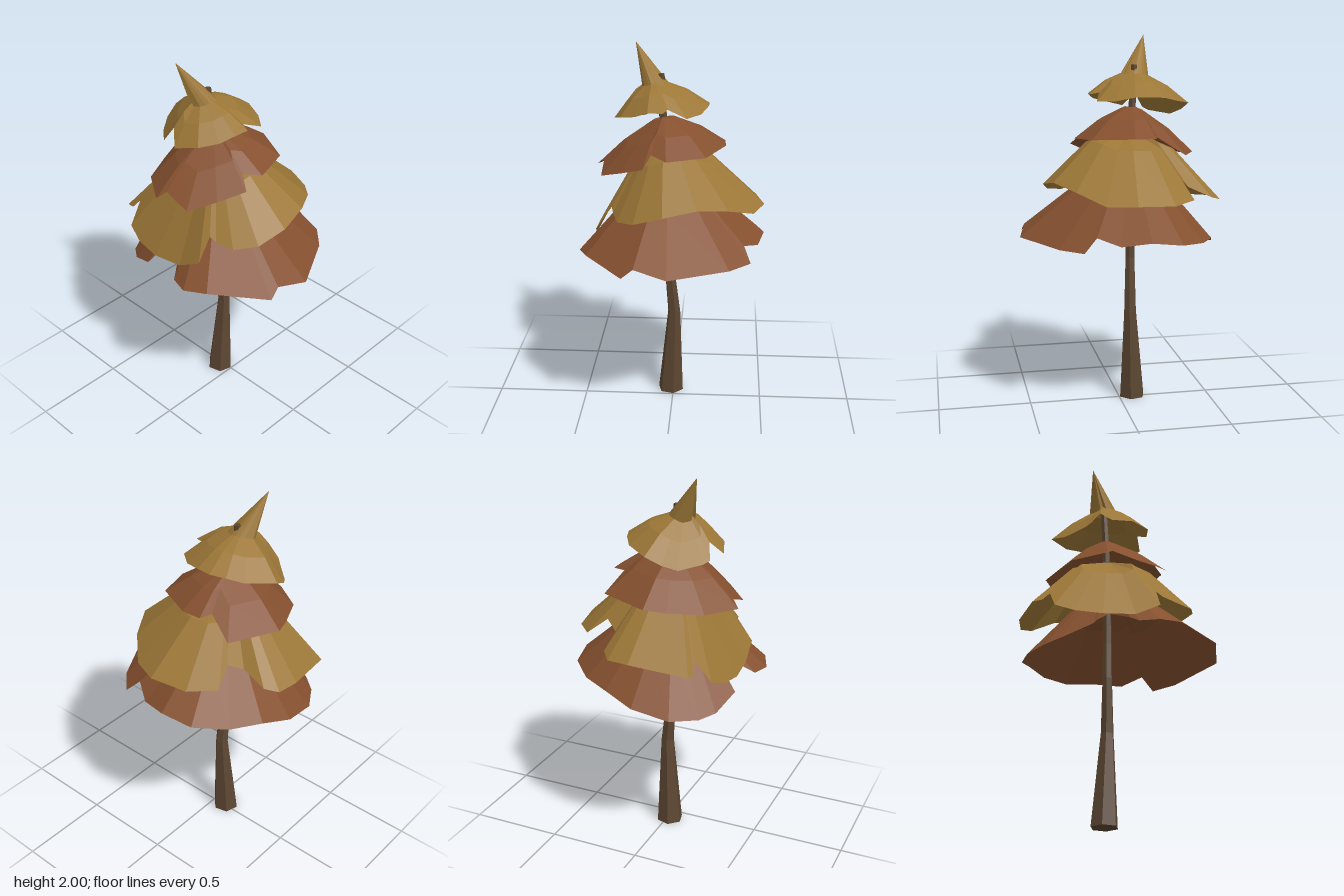
import * as THREE from 'three';

const flat = (name, color) => {
  const m = new THREE.MeshStandardMaterial({ color, side: THREE.DoubleSide });
  m.name = name;
  return m;
};

// Joins rings of points (top to bottom or bottom to top) into flat facets
function skin(rings, flip = false) {
  const pos = [];
  const tri = (a, b, c) => {
    for (const p of flip ? [a, c, b] : [a, b, c]) pos.push(p.x, p.y, p.z);
  };
  for (let r = 0; r < rings.length - 1; r++) {
    const up = rings[r], low = rings[r + 1];
    const n = Math.max(up.length, low.length);
    for (let i = 0; i < n; i++) {
      const j = (i + 1) % n;
      if (up.length === 1) tri(up[0], low[i], low[j]);
      else if (low.length === 1) tri(up[i], low[0], up[j]);
      else {
        tri(up[i], low[i], low[j]);
        tri(up[i], low[j], up[j]);
      }
    }
  }
  const g = new THREE.BufferGeometry();
  g.setAttribute('position', new THREE.Float32BufferAttribute(pos, 3));
  g.computeVertexNormals();
  return g;
}

// Foliage shell: ragged rim pulled in towards a centre; steps are [fraction, lift]
function tier(name, material, centre, tip, steps, rim) {
  const c = new THREE.Vector3(...centre);
  const edge = rim.map(p => new THREE.Vector3(...p));
  const rings = steps.map(([f, lift]) => edge.map(p => {
    const q = c.clone().lerp(p, f);
    q.y += lift;
    return q;
  }));
  const mesh = new THREE.Mesh(skin([[new THREE.Vector3(...tip)], ...rings, edge]), material);
  mesh.name = name;
  return mesh;
}

export function createModel() {
  const group = new THREE.Group();
  group.name = 'tree';
  const bark = flat('bark', 0x5c4632);
  const russet = flat('russet leaves', 0x85502f);
  const gold = flat('gold leaves', 0x9c7737);

  // Bent, tapering six-sided trunk: x, y, z, radius
  const trunkRings = [
    [-0.095, 1.845, 0.065, 0.018], [-0.08, 1.6, 0.055, 0.022], [-0.065, 1.0, 0.022, 0.026],
    [-0.065, 0.8, 0.025, 0.027], [-0.06, 0.5, -0.005, 0.036], [-0.075, 0, 0.015, 0.073],
  ].map(([x, y, z, r]) => Array.from({ length: 6 }, (_, i) => {
    const a = (i / 6) * Math.PI * 2 + 0.25;
    return new THREE.Vector3(x + r * Math.cos(a), y, z - r * Math.sin(a));
  }));
  const trunk = new THREE.Mesh(skin([
    [new THREE.Vector3(-0.095, 1.845, 0.065)], ...trunkRings, [new THREE.Vector3(-0.075, 0, 0.015)],
  ]), bark);
  trunk.name = 'trunk';
  group.add(trunk);

  // Rims run left, front, right, back
  group.add(tier('bottomFoliage', russet, [-0.06, 1.33, 0.03], [-0.06, 1.33, 0.03], [[0.5, 0.05]], [
    [-0.47, 0.93, -0.17], [-0.52, 0.88, 0], [-0.5, 0.84, 0.2], [-0.42, 0.84, 0.33],
    [-0.34, 0.855, 0.39], [-0.19, 0.92, 0.435], [-0.16, 0.98, 0.36], [-0.08, 1.1, 0.2],
    [0, 0.985, 0.4], [0.04, 0.94, 0.46], [0.14, 0.94, 0.49], [0.26, 0.955, 0.44],
    [0.51, 0.935, 0.23], [0.5, 0.98, 0.17], [0.54, 0.94, 0.0], [0.37, 0.93, -0.31],
    [0.26, 0.93, -0.42], [0.19, 1.0, -0.385], [0.08, 0.965, -0.46], [-0.07, 0.985, -0.495],
    [-0.24, 0.96, -0.46], [-0.38, 0.94, -0.33],
  ]));

  group.add(tier('lowerMiddleFoliage', gold, [-0.06, 1.5, 0.05], [-0.06, 1.5, 0.05], [[0.5, 0.08]], [
    [-0.34, 1.21, -0.17], [-0.47, 1.15, -0.17], [-0.53, 1.13, -0.12], [-0.545, 1.13, 0],
    [-0.49, 1.09, 0.3], [-0.44, 1.1, 0.31], [-0.4, 1.15, 0.29], [-0.38, 1.04, 0.38],
    [-0.28, 1.0, 0.41], [-0.14, 0.985, 0.425], [0.03, 1.0, 0.41], [0.16, 1.07, 0.395],
    [0.155, 1.19, 0.31], [0.19, 1.17, 0.3], [0.28, 1.15, 0.27], [0.37, 1.17, 0.18],
    [0.41, 1.22, 0.03], [0.375, 1.25, -0.14], [0.28, 1.22, -0.3], [0.15, 1.165, -0.43],
    [0, 1.17, -0.49], [-0.2, 1.16, -0.45], [-0.325, 1.17, -0.345], [-0.29, 1.25, -0.24],
  ]));

  group.add(tier('upperMiddleFoliage', russet, [-0.08, 1.62, 0.05], [-0.08, 1.62, 0.05], [[0.15, 0.025], [0.6, 0.03]], [
    [-0.41, 1.375, 0.02], [-0.37, 1.36, 0.13], [-0.29, 1.35, 0.3], [-0.12, 1.345, 0.415],
    [-0.085, 1.38, 0.375], [0.06, 1.33, 0.375], [0.16, 1.375, 0.26], [0.245, 1.42, 0.14],
    [0.18, 1.48, 0.1], [0.24, 1.46, 0.02], [0.18, 1.47, -0.18], [-0.03, 1.48, -0.28],
    [-0.14, 1.48, -0.275], [-0.16, 1.48, -0.205], [-0.3, 1.39, -0.25],
  ]));

  // Crown with a bent spike
  group.add(tier('topFoliage', gold, [-0.1, 1.84, 0.11], [-0.175, 2, 0.205], [[0.27, 0], [0.62, 0.015]], [
    [-0.385, 1.64, 0.02], [-0.365, 1.6, 0.1], [-0.32, 1.57, 0.17], [-0.22, 1.585, 0.26],
    [-0.19, 1.6, 0.285], [-0.14, 1.68, 0.26], [-0.08, 1.61, 0.315], [0.04, 1.64, 0.27],
    [0.11, 1.66, 0.19], [0.15, 1.69, 0.12], [0.155, 1.69, 0.04], [0.105, 1.7, 0.02],
    [0.135, 1.66, -0.08], [0.05, 1.665, -0.15], [-0.05, 1.685, -0.185], [-0.13, 1.685, -0.19],
    [-0.21, 1.68, -0.16], [-0.29, 1.66, -0.11],
  ]));

  return group;
}
